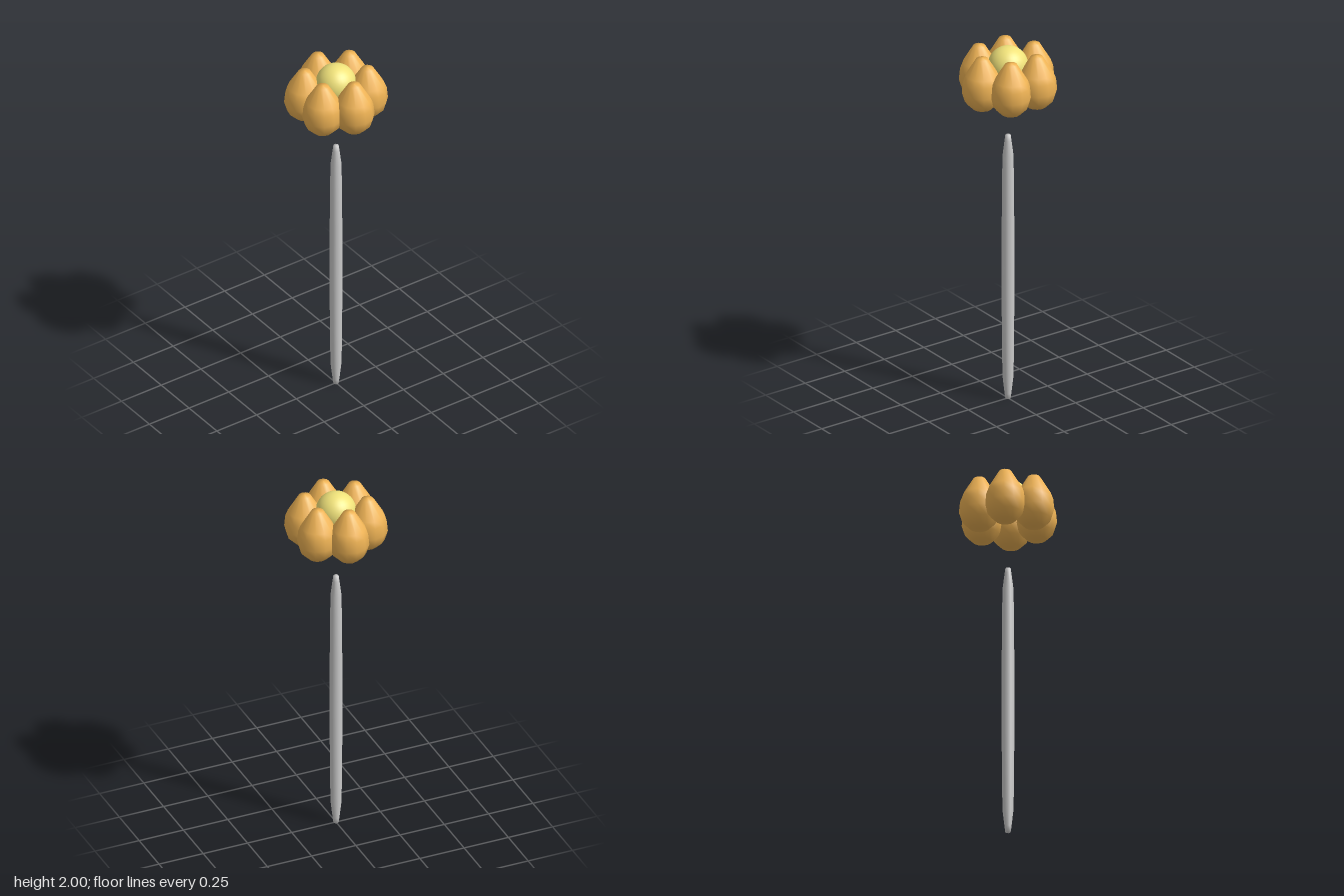
import * as THREE from 'three';

// Closed turned shape from [radius, height] pairs
function turned(profile, sides) {
  return new THREE.LatheGeometry(profile.map(([r, y]) => new THREE.Vector2(r, y)), sides);
}

export function createModel() {
  const model = new THREE.Group();
  model.name = 'flower';

  const stemMaterial = new THREE.MeshStandardMaterial({ color: 0xcccccc });
  const petalMaterial = new THREE.MeshStandardMaterial({ color: 0xf0b455 });
  const centreMaterial = new THREE.MeshStandardMaterial({ color: 0xf0e27a });

  // Slender stem, tapered at both ends
  const stem = new THREE.Mesh(turned([
    [0, 0], [0.014, 0], [0.018, 0.03], [0.029, 0.13], [0.032, 0.4], [0.034, 0.75],
    [0.032, 1.1], [0.029, 1.38], [0.018, 1.47], [0.014, 1.5], [0, 1.5],
  ], 12), stemMaterial);
  stem.name = 'stem';
  model.add(stem);

  // Ring of six bud-shaped petals
  const petals = new THREE.Group();
  petals.name = 'petals';
  const petalGeometry = turned([
    [0, 1.693], [0.05, 1.697], [0.09, 1.737], [0.106, 1.79],
    [0.1, 1.85], [0.087, 1.885], [0.032, 1.977], [0, 1.982],
  ], 12);
  for (let i = 0; i < 6; i++) {
    const angle = i * Math.PI / 3;
    const petal = new THREE.Mesh(petalGeometry, petalMaterial);
    petal.name = 'petal';
    petal.position.set(0.163 * Math.cos(angle), 0, 0.163 * Math.sin(angle));
    petal.rotation.y = -angle;
    petals.add(petal);
  }
  model.add(petals);

  // Round flower centre
  const centre = new THREE.Mesh(new THREE.SphereGeometry(0.105, 32, 20), centreMaterial);
  centre.name = 'flowerCentre';
  centre.position.y = 1.895;
  model.add(centre);

  return model;
}
